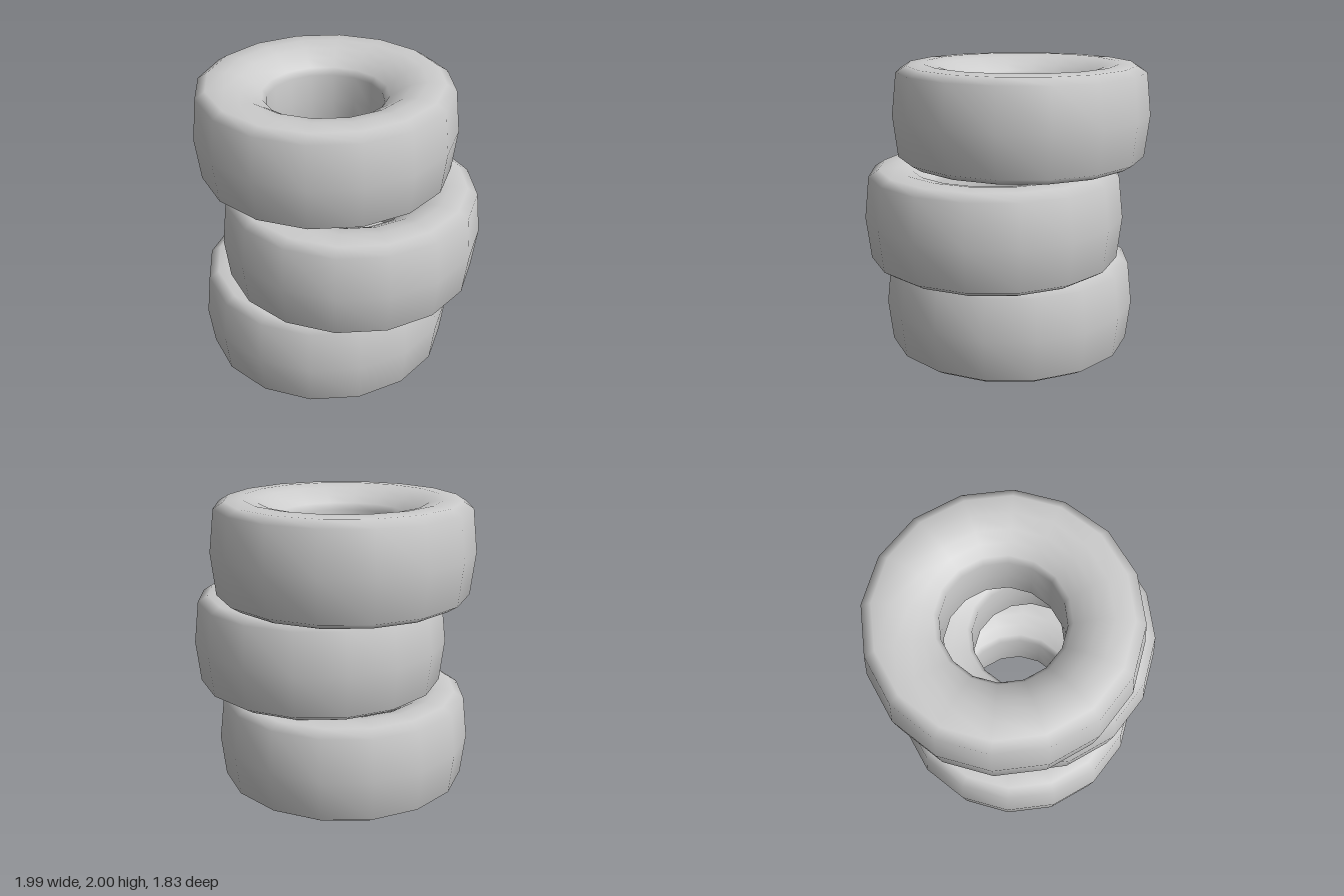
import * as THREE from 'three';

// Upper half of the tyre section as [radius, height], from tread centre to bore
const HALF_SECTION = [
  [0.88, 0], [0.848, 0.283], [0.78, 0.326], [0.66, 0.333],
  [0.56, 0.312], [0.49, 0.27], [0.42, 0.225], [0.39, 0.18],
];

function tyreGeometry() {
  const upper = HALF_SECTION.map(([r, y]) => new THREE.Vector2(r, y));
  const lower = HALF_SECTION.slice(1).map(([r, y]) => new THREE.Vector2(r, -y)).reverse();
  const boreMiddle = new THREE.Vector2(0.39, 0);
  // Closed loop, starting and ending halfway up the bore
  return new THREE.LatheGeometry([boreMiddle, ...lower, ...upper, boreMiddle.clone()], 16);
}

export function createModel() {
  const group = new THREE.Group();
  group.name = 'tyreStack';
  const rubber = new THREE.MeshStandardMaterial({ color: 0xcccccc, side: THREE.DoubleSide });
  const geometry = tyreGeometry();

  // Three equal tyres, each a little off the axis
  const tyres = [
    ['bottomTyre', -0.08, 0.333, 0.035],
    ['middleTyre', 0.113, 1.0, 0.033],
    ['topTyre', -0.115, 1.667, -0.035],
  ];
  for (const [name, x, y, z] of tyres) {
    const tyre = new THREE.Mesh(geometry, rubber);
    tyre.name = name;
    tyre.position.set(x, y, z);
    group.add(tyre);
  }
  return group;
}
